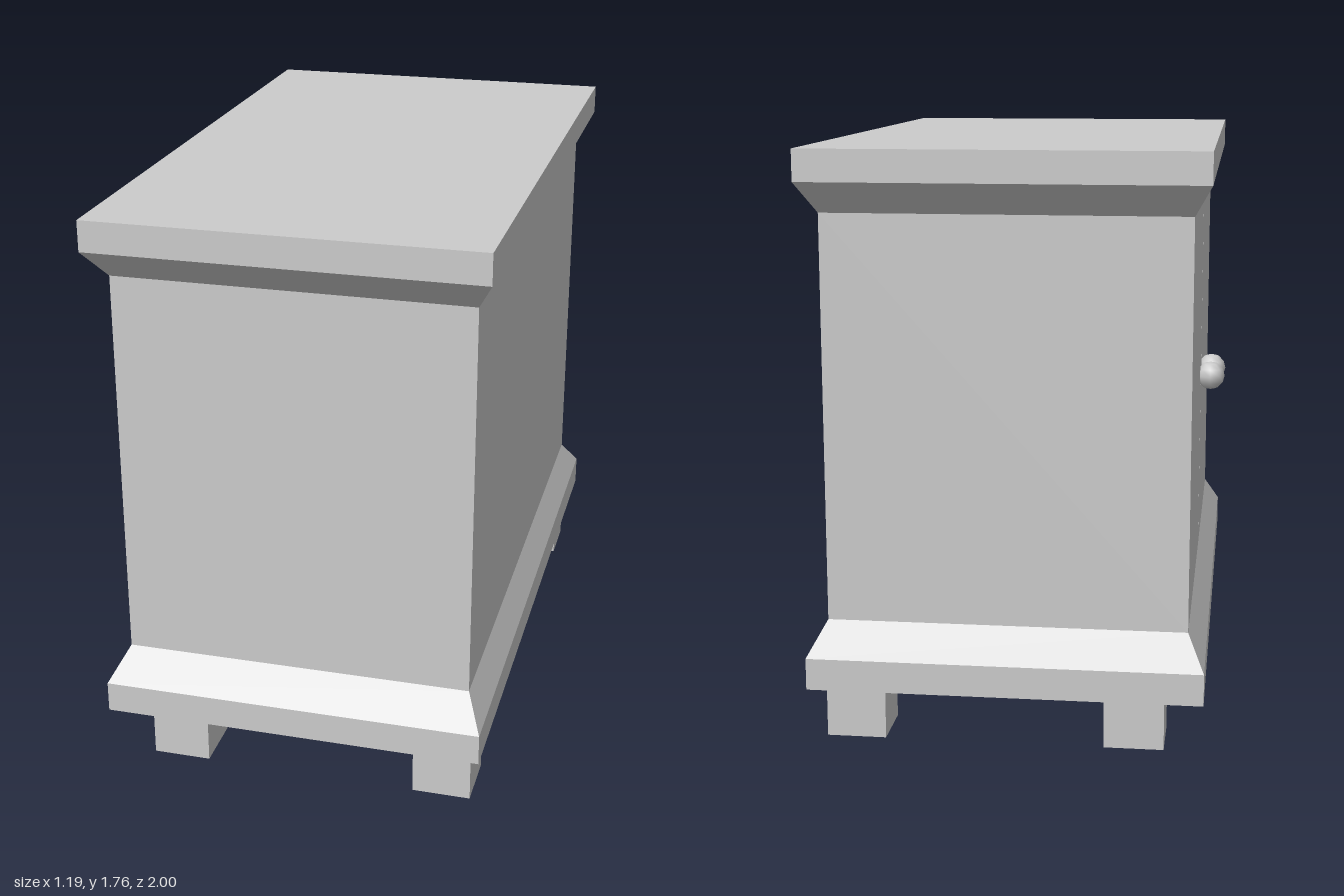
import * as THREE from 'three';

const CX = 0.0125; // cabinet centre, shifted by the knobs on the -x side
const OUTER = { w: 1.165, d: 2.0 };
const INNER = { w: 1.065, d: 1.826 };

export function createModel() {
  const model = new THREE.Group();
  model.name = 'cabinet';
  const grey = new THREE.MeshStandardMaterial({ color: 0xcccccc });
  const greyDouble = new THREE.MeshStandardMaterial({ color: 0xcccccc, side: THREE.DoubleSide });

  const add = (name, geometry, material, x, y, z) => {
    const mesh = new THREE.Mesh(geometry, material);
    mesh.name = name;
    mesh.position.set(x, y, z);
    model.add(mesh);
    return mesh;
  };

  // Slab with one half tapering in to the body; dir = 1 tapers upward, -1 downward
  const moulding = (height, dir) => {
    const box = new THREE.BoxGeometry(OUTER.w, height, OUTER.d, 1, 2, 1);
    const p = box.attributes.position;
    for (let i = 0; i < p.count; i++) {
      if (p.getY(i) * dir > 0.001) {
        p.setX(i, Math.sign(p.getX(i)) * INNER.w / 2);
        p.setZ(i, Math.sign(p.getZ(i)) * INNER.d / 2);
      }
    }
    const flat = box.toNonIndexed();
    flat.computeVertexNormals();
    return flat;
  };
  add('baseMoulding', moulding(0.19, 1), grey, CX, 0.275, 0);
  add('topMoulding', moulding(0.185, -1), grey, CX, 1.6675, 0);

  // Body: footprint with a fine slot between the two doors, drawn in x and -z
  const hw = INNER.w / 2, hd = INNER.d / 2, gap = 0.003, slot = 0.02;
  const footprint = new THREE.Shape([
    [-hw, -hd], [hw, -hd], [hw, hd], [-hw, hd],
    [-hw, gap], [-hw + slot, gap], [-hw + slot, -gap], [-hw, -gap],
  ].map(([x, y]) => new THREE.Vector2(x, y)));
  const body = new THREE.ExtrudeGeometry(footprint, { depth: 1.205, bevelEnabled: false });
  body.rotateX(-Math.PI / 2);
  add('body', body, grey, CX, 0.37, 0);

  // Door knobs either side of the slot
  for (const z of [-0.076, 0.07]) {
    add('doorKnob', new THREE.SphereGeometry(0.046, 8, 6), grey, -0.554, 0.972, z);
  }

  // Hollow square legs, open at the bottom
  const leg = new THREE.CylinderGeometry(0.178 / Math.SQRT2, 0.178 / Math.SQRT2, 0.18, 4, 1, true);
  leg.rotateY(Math.PI / 4);
  const legFlat = leg.toNonIndexed();
  legFlat.computeVertexNormals();
  for (const x of [-0.364, 0.469]) {
    for (const z of [-0.812, 0.837]) add('leg', legFlat, greyDouble, x, 0.09, z);
  }
  return model;
}
